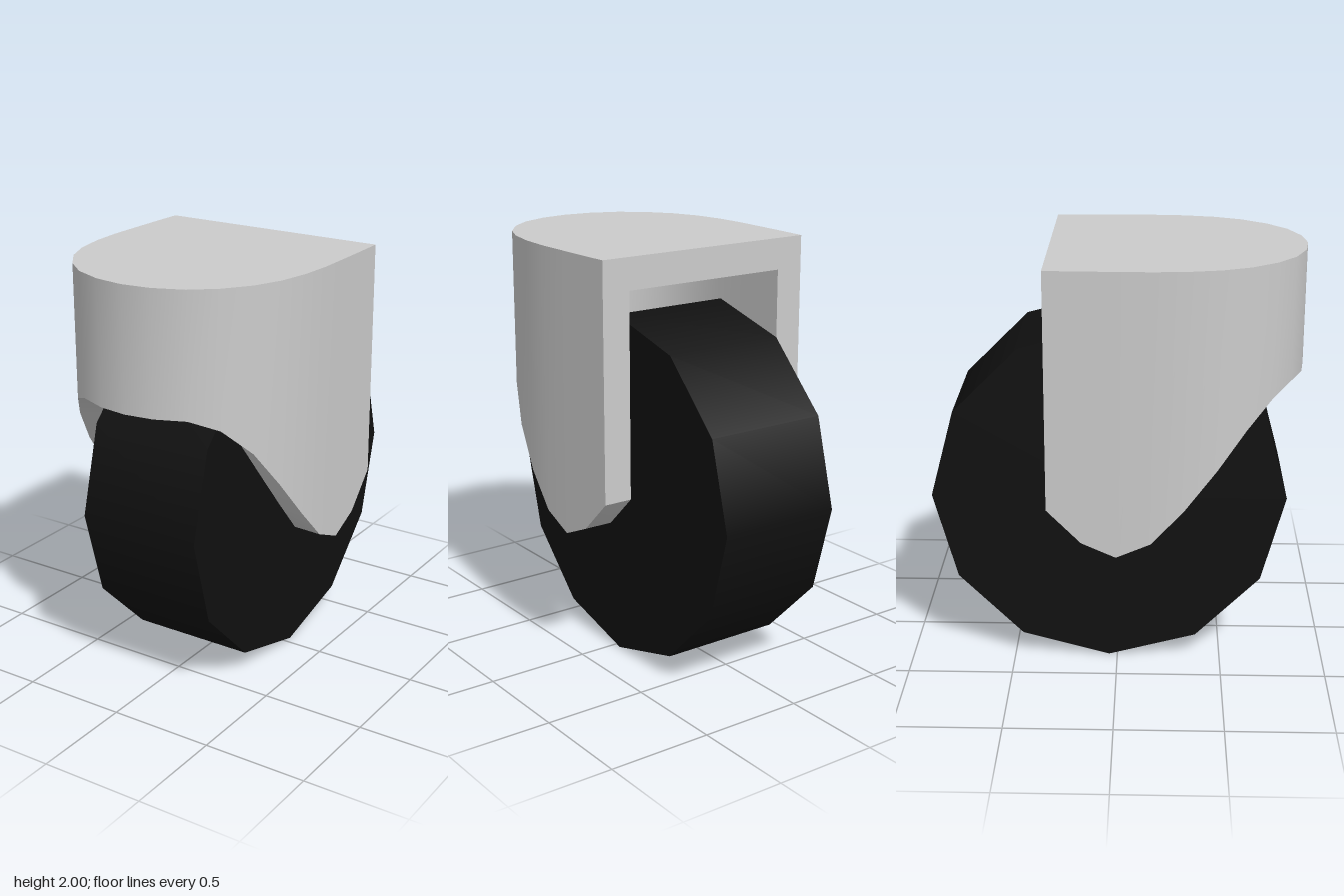
import * as THREE from 'three';
import { toCreasedNormals } from 'three/addons/utils/BufferGeometryUtils.js';

const TOP = 2, CEILING = 1.85;

// Half of the housing, back to front: outer x, outer z, inner x, inner z, lower edge y
const HALF = [
  [0.565, -0.32, 0.425, -0.32, 0.88],
  [0.57, -0.16, 0.43, -0.16, 0.72],
  [0.573, 0, 0.434, 0, 0.65],
  [0.575, 0.16, 0.435, 0.15, 0.72],
  [0.565, 0.31, 0.428, 0.28, 0.88],
  [0.535, 0.46, 0.40, 0.41, 1.07],
  [0.48, 0.59, 0.355, 0.51, 1.245],
  [0.39, 0.71, 0.29, 0.595, 1.37],
  [0.28, 0.80, 0.20, 0.67, 1.42],
  [0.14, 0.857, 0.10, 0.717, 1.42],
  [0, 0.875, 0, 0.735, 1.42],
];

function housingGeometry() {
  // Mirror the half outline, then make a wall cross-section at every column
  const mirrored = HALF.slice(0, -1).reverse().map(([ox, oz, ix, iz, y]) => [-ox, oz, -ix, iz, y]);
  const columns = [...HALF, ...mirrored].map(([ox, oz, ix, iz, y]) => [
    new THREE.Vector3(ox, TOP, oz),
    new THREE.Vector3(ox, y, oz),
    new THREE.Vector3(ix, y, iz),
    new THREE.Vector3(ix, CEILING, iz),
  ]);
  const points = [];
  const tri = (a, b, c) => {
    if (!a.equals(b) && !b.equals(c) && !c.equals(a)) points.push(a, b, c);
  };
  const quad = (a, b, c, d) => { tri(a, b, c); tri(a, c, d); };
  const last = columns.length - 1;

  // Outer wall, lower rim and inner wall
  for (let i = 0; i < last; i++) {
    const p = columns[i], q = columns[i + 1];
    for (let k = 0; k < 3; k++) quad(p[k], q[k], q[k + 1], p[k + 1]);
  }
  // Top plate and ceiling, in strips across the width
  for (let i = 0; i < last / 2; i++) {
    const p = columns[i], q = columns[i + 1];
    const pm = columns[last - i], qm = columns[last - i - 1];
    quad(p[0], pm[0], qm[0], q[0]);
    quad(p[3], q[3], qm[3], pm[3]);
  }
  // Back edges of the legs and the bar above the opening
  const a = columns[0], b = columns[last];
  quad(a[0], a[1], a[2], a[3]);
  quad(b[0], b[3], b[2], b[1]);
  quad(a[0], a[3], b[3], b[0]);

  return toCreasedNormals(new THREE.BufferGeometry().setFromPoints(points), 0.6);
}

export function createModel() {
  const group = new THREE.Group();
  group.name = 'casterWheel';

  const housing = new THREE.Mesh(
    housingGeometry(),
    new THREE.MeshStandardMaterial({ color: 0xcccccc })
  );
  housing.name = 'housing';

  // Twelve-sided wheel standing on one corner, axle along x
  const wheelGeometry = new THREE.CylinderGeometry(0.84, 0.84, 0.61, 12);
  wheelGeometry.rotateZ(Math.PI / 2);
  const wheel = new THREE.Mesh(
    wheelGeometry,
    new THREE.MeshStandardMaterial({ color: 0x101010 })
  );
  wheel.name = 'wheel';
  wheel.position.set(0, 0.84, -0.04);

  group.add(housing, wheel);
  return group;
}
